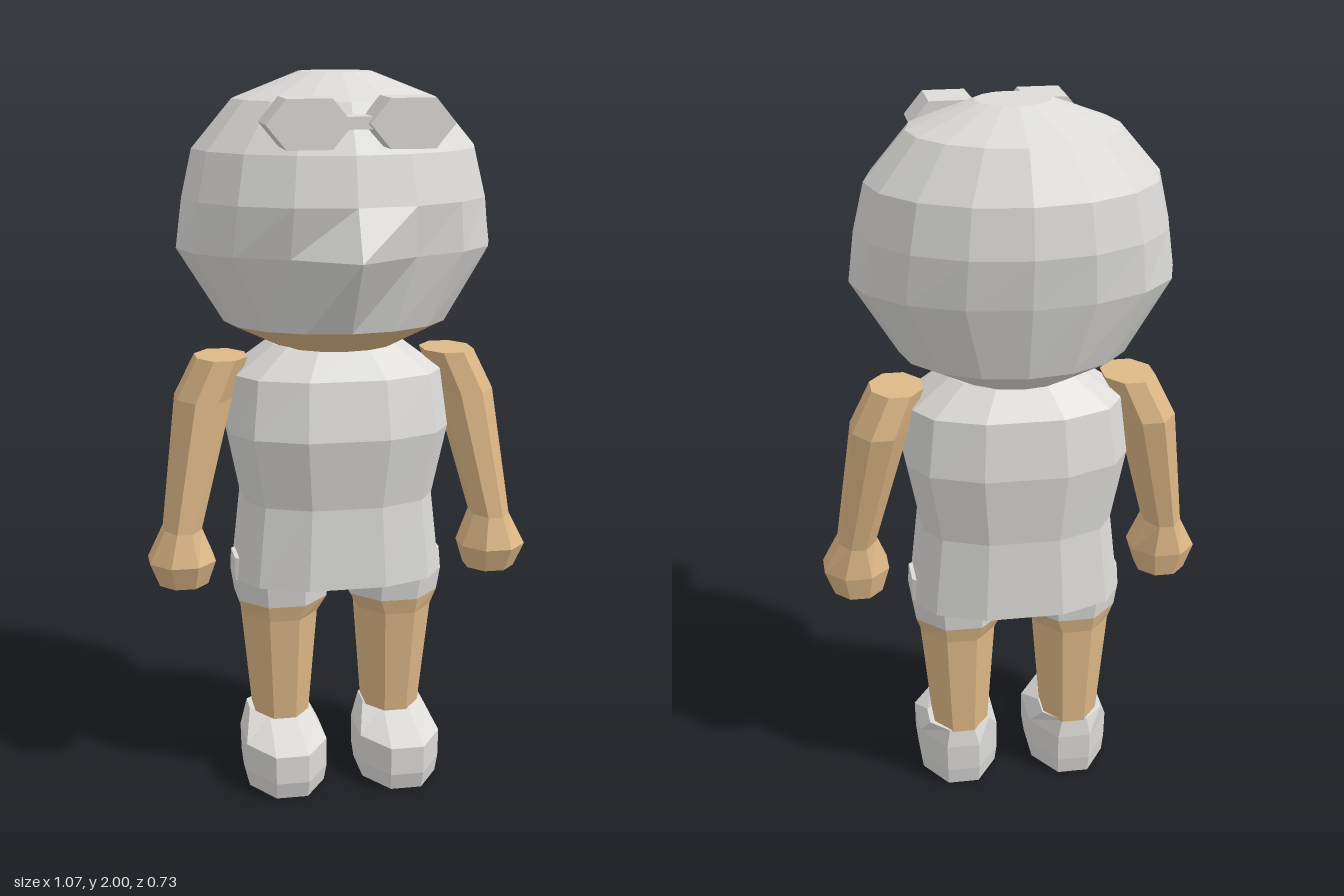
import * as THREE from 'three';

const material = (name, color) => Object.assign(new THREE.MeshStandardMaterial({ color, flatShading: true }), { name });

// Unit outlines as [x, z], counterclockwise seen from above
const octagon = [[0.41, 1], [1, 0.41], [1, -0.41], [0.41, -1], [-0.41, -1], [-1, -0.41], [-1, 0.41], [-0.41, 1]];
const round16 = Array.from({ length: 16 }, (_, i) => [Math.sin(i * Math.PI / 8), Math.cos(i * Math.PI / 8)]);
const shirtHalf = [[0.37, 1], [0.83, 0.74], [1, 0.36]];
const shirtRight = [...shirtHalf, ...shirtHalf.map(([x, z]) => [x, -z]).reverse()];
const shirtOutline = [...shirtRight, ...shirtRight.map(([x, z]) => [-x, z]).reverse()];

// Faceted loft through rings [y, xMin, xMax, zMin, zMax, noseZ], listed bottom to top
function loft(name, mat, outline, rings, { side = 1, closed = true } = {}) {
  const points = rings.map(([y, a, b, c, d, nose]) => outline.map(([x, z], i) => new THREE.Vector3(
    side * (a + b) / 2 + x * (b - a) / 2, y,
    nose !== undefined && i === 0 ? nose : (c + d) / 2 + z * (d - c) / 2)));
  const centres = rings.map(([y, a, b, c, d]) => new THREE.Vector3(side * (a + b) / 2, y, (c + d) / 2));
  const n = outline.length, top = rings.length - 1, tris = [];
  for (let i = 0; i < (closed ? n : n - 1); i++) {
    const k = (i + 1) % n;
    for (let j = 0; j < top; j++) {
      const [p, q] = [points[j], points[j + 1]];
      tris.push(p[i], p[k], q[k], p[i], q[k], q[i]);
    }
    tris.push(centres[top], points[top][i], points[top][k]);
    tris.push(centres[0], points[0][k], points[0][i]);
  }
  const geometry = new THREE.BufferGeometry().setFromPoints(tris);
  geometry.computeVertexNormals();
  const mesh = new THREE.Mesh(geometry, mat);
  mesh.name = name;
  return mesh;
}

export function createModel() {
  const model = new THREE.Group();
  model.name = 'figure';
  const grey = material('light grey', 0xdcdbd8);
  const skin = material('tan skin', 0xdeb887);

  // Head, pointed at the nose
  model.add(loft('head', grey, round16, [
    [1.33, -0.31, 0.31, -0.29, 0.22],
    [1.535, -0.437, 0.437, -0.345, 0.27, 0.365],
    [1.67, -0.42, 0.42, -0.367, 0.30],
    [1.80, -0.39, 0.39, -0.35, 0.27],
    [1.93, -0.28, 0.28, -0.28, 0.20],
    [2.0, -0.10, 0.10, -0.13, 0.05],
  ]));

  // Underside of the head: skin in front, grey behind
  const under = [[1.265, -0.17, 0.17, -0.20, 0.13], [1.33, -0.31, 0.31, -0.29, 0.22]];
  const front = [12, 13, 14, 15, 0, 1, 2, 3, 4].map(i => round16[i]);
  model.add(loft('chin', skin, front, under, { closed: false }));
  model.add(loft('nape', grey, round16.slice(4, 13), under, { closed: false }));

  // Goggles: two hexagonal barrels and a bridge
  const goggles = new THREE.Group();
  goggles.name = 'goggles';
  const hex = new THREE.Shape([[0.11, 0], [0.058, 0.063], [-0.058, 0.063], [-0.11, 0], [-0.058, -0.063], [0.058, -0.063]]
    .map(([x, y]) => new THREE.Vector2(x, y)));
  for (const side of [-1, 1]) {
    const barrel = new THREE.Mesh(new THREE.ExtrudeGeometry(hex, { depth: 0.142, bevelEnabled: false }), grey);
    barrel.name = side > 0 ? 'leftLens' : 'rightLens';
    barrel.position.set(side * 0.132, 1.884, 0.2);
    goggles.add(barrel);
  }
  const bridge = new THREE.Mesh(new THREE.BoxGeometry(0.072, 0.032, 0.08), grey);
  bridge.name = 'bridge';
  bridge.position.set(0, 1.884, 0.27);
  goggles.add(bridge);
  model.add(goggles);

  // Shirt
  model.add(loft('shirt', grey, shirtOutline, [
    [0.6, -0.29, 0.29, -0.245, 0.165],
    [0.83, -0.265, 0.265, -0.24, 0.16],
    [1.03, -0.305, 0.305, -0.265, 0.197],
    [1.19, -0.285, 0.285, -0.247, 0.167],
    [1.27, -0.18, 0.18, -0.18, 0.10],
  ]));

  // Limbs, mirrored
  for (const side of [-1, 1]) {
    const prefix = side > 0 ? 'left' : 'right';
    const add = (part, mat, rings) => model.add(loft(prefix + part, mat, octagon, rings, { side }));
    add('Arm', skin, [
      [0.6, 0.375, 0.51, -0.065, 0.085],
      [0.67, 0.354, 0.537, -0.08, 0.115],
      [0.76, 0.39, 0.493, -0.075, 0.09],
      [1.12, 0.295, 0.447, -0.15, 0.062],
      [1.235, 0.25, 0.39, -0.13, 0.053],
    ]);
    add('ShortsLeg', grey, [
      [0.535, 0.035, 0.287, -0.17, 0.10],
      [0.6, 0.03, 0.297, -0.177, 0.11],
      [0.66, 0.035, 0.295, -0.15, 0.08],
    ]);
    add('Leg', skin, [
      [0.18, 0.085, 0.24, -0.147, 0.055],
      [0.49, 0.062, 0.27, -0.16, 0.088],
      [0.535, 0.035, 0.287, -0.17, 0.10],
    ]);
    add('Shoe', grey, [
      [0, 0.057, 0.272, -0.142, 0.195],
      [0.05, 0.05, 0.278, -0.15, 0.21],
      [0.13, 0.05, 0.28, -0.152, 0.21],
      [0.185, 0.08, 0.255, -0.145, 0.03],
    ]);
  }
  return model;
}
